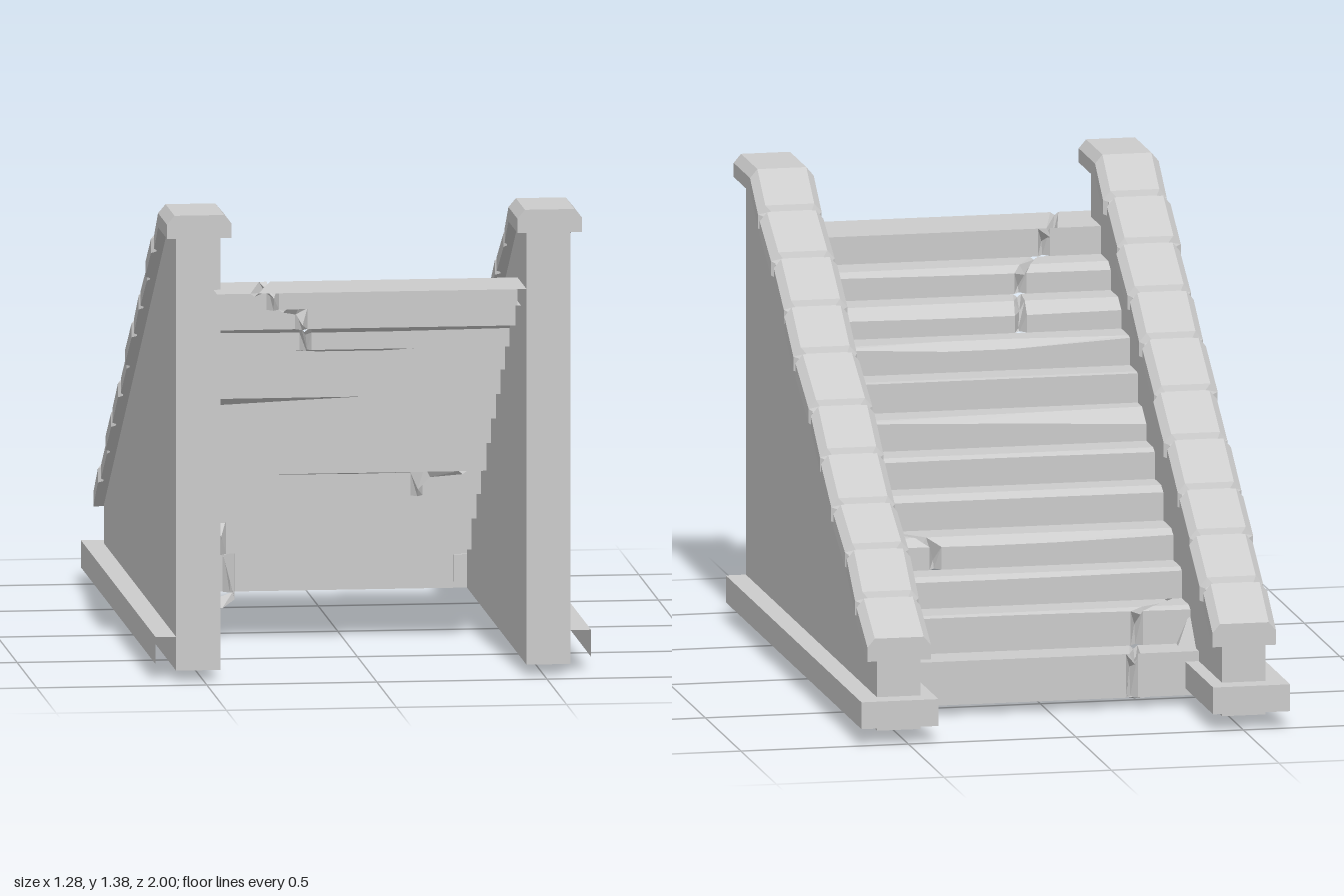
import * as THREE from 'three';

const stone = new THREE.MeshStandardMaterial({ color: 0xcccccc, flatShading: true, side: THREE.DoubleSide });

// Skin a grid of points: every row holds the same number of [x, y, z]
function loft(rows) {
  const n = rows[0].length, index = [];
  for (let r = 0; r < rows.length - 1; r++) {
    for (let c = 0; c < n - 1; c++) {
      const a = r * n + c, b = a + n;
      index.push(a, a + 1, b, a + 1, b + 1, b);
    }
  }
  const g = new THREE.BufferGeometry();
  g.setAttribute('position', new THREE.Float32BufferAttribute(rows.flat(2), 3));
  g.setIndex(index);
  const flat = g.toNonIndexed();
  flat.computeVertexNormals();
  return flat;
}

function part(name, geometry, parent) {
  const m = new THREE.Mesh(geometry, stone);
  m.name = name;
  parent.add(m);
  return m;
}

// Underside height of the coping at a given z
const copingY = z => 1.31 - Math.max(0, 0.71 - z) * (1.07 / 1.65);

// Solid side wall with a sloping top
function sideWall() {
  const s = new THREE.Shape();
  s.moveTo(-0.935, 0.03);
  s.lineTo(0.91, 0.03);
  s.lineTo(0.91, 1.32);
  s.lineTo(0.71, 1.32);
  s.lineTo(-0.935, copingY(-0.935) + 0.01);
  s.closePath();
  const g = new THREE.ExtrudeGeometry(s, { depth: 0.13, bevelEnabled: false });
  return g.rotateY(-Math.PI / 2).translate(0.58, 0, 0);
}

// Chamfered coping blocks with narrow joints, following the wall top
function coping(side) {
  const cx = 0.515, rows = [];
  const section = (z, inset, shift = 0) => {
    const y = copingY(z), w = 0.095 - inset, t = 0.068 - inset;
    return [[-w, 0], [-w, 0.042], [-w + 0.022, t], [w - 0.022, t], [w, 0.042], [w, 0], [-w, 0]]
      .map(([x, h]) => [side * (cx + x + shift), y + h, z]);
  };
  const point = z => section(z, 0).map(() => [side * cx, copingY(z) + 0.035, z]);
  rows.push(point(0.94), section(0.94, 0), section(0.71, 0));
  [0.57, 0.405, 0.235, 0.07, -0.115, -0.285, -0.46, -0.62, -0.79].forEach((z, i) => {
    const a = 0.004 * Math.sin(i * 2.3 + side), b = 0.004 * Math.sin(i * 4.1 + 1);
    rows.push(section(z + 0.012, 0, a), section(z + 0.004, 0.012), section(z - 0.004, 0.012), section(z - 0.012, 0, b));
  });
  rows.push(section(-0.943, 0), point(-0.943));
  return loft(rows);
}

// Plinth strip wrapping the outside, the low end and the start of the inside
function plinth(side) {
  const outer = [[0.64, 0.91], [0.64, -1], [0.41, -1], [0.41, -0.6]];
  const inner = [[0.58, 0.91], [0.58, -0.935], [0.45, -0.935], [0.45, -0.6]];
  const ring = (pts, y) => pts.map(([x, z]) => [side * x, y, z]);
  return loft([ring(outer, 0.05), ring(outer, 0.13), ring(inner, 0.13)]);
}

// Steps: z of riser, tread height, edge wear at x-, middle and x+, crack x at front and back
const steps = [
  [-0.61, 0.16, 0, 0, 0, -0.25, -0.28],
  [-0.49, 0.27, 0.01, 0.005, 0.005, -0.29, -0.41],
  [-0.37, 0.36, 0.008, 0.012, 0.012],
  [-0.25, 0.45, 0.015, 0.025, 0.02, 0.26, 0.38],
  [-0.11, 0.55, 0.016, 0.016, 0.016],
  [0.01, 0.64, 0.01, 0.008, 0.01],
  [0.13, 0.73, 0.04, 0.02, 0.004],
  [0.25, 0.82, 0.003, 0.003, 0.003],
  [0.36, 0.905, 0.004, 0.028, 0.004],
  [0.48, 0.99, 0.03, 0.035, 0.03, -0.15, -0.17],
  [0.63, 1.07, 0.02, 0.018, 0.012, -0.18, -0.25],
  [0.77, 1.153, 0, 0, 0, -0.28, -0.36],
  [1.0, 1.153],
];

function step(i) {
  const [z, y, wl, wm, wr, cf, cb] = steps[i];
  const below = i ? steps[i - 1][1] : 0.03, back = steps[i + 1][0];
  const top = i === 11, x0 = top ? -0.47 : -0.452, x1 = top ? 0.44 : 0.452;
  const wear = x => (x < 0 ? wm + (wl - wm) * (-x / 0.45) : wm + (wr - wm) * (x / 0.45));
  // Columns as [front x, back x, crack depth]
  let cols = [[x0, x0, 0], [-0.1, -0.1, 0], [0.1, 0.1, 0], [x1, x1, 0]];
  if (cf !== undefined) {
    cols = cols.concat([[cf - 0.018, cb - 0.012, 0], [cf, cb, 0.045], [cf + 0.018, cb + 0.012, 0]]);
    cols.sort((p, q) => p[0] - q[0]);
  }
  return loft(cols.map(([f, b, crack]) => {
    const w = wear(f), depth = w ? 0.012 + w * 1.2 : 0;
    return [
      [f, below, z + crack * 0.5],
      [f, y - w - crack, z + crack * 0.8],
      [f + (b - f) * 0.3, y - crack * 0.7, z + depth],
      [b, y - crack * 0.2, back],
    ];
  }));
}

// Broken piece under the lowest step, drawn as faceted cross-sections
function brokenPiece() {
  const front = [[-0.45, 0.13, -0.6], [-0.34, 0.03, -0.6], [-0.285, 0.02, -0.57], [-0.24, 0.03, -0.6], [-0.235, 0.155, -0.6]];
  const rear = [[-0.45, 0.25, -0.48], [-0.35, 0.03, -0.5], [-0.285, 0, -0.48], [-0.25, 0.03, -0.46], [-0.28, 0.155, -0.49]];
  return loft([front, rear]);
}

export function createModel() {
  const model = new THREE.Group();
  model.name = 'stoneStaircase';

  for (const side of [1, -1]) {
    const g = new THREE.Group();
    g.name = side > 0 ? 'leftBalustrade' : 'rightBalustrade';
    const wall = sideWall();
    if (side < 0) wall.translate(-1.03, 0, 0);
    part('sideWall', wall, g);
    part('coping', coping(side), g);
    part('plinth', plinth(side), g);
    model.add(g);
  }

  const flight = new THREE.Group();
  flight.name = 'flight';
  for (let i = 0; i < 12; i++) part('step' + (i + 1), step(i), flight);
  part('brokenPiece', brokenPiece(), flight);
  model.add(flight);
  return model;
}
